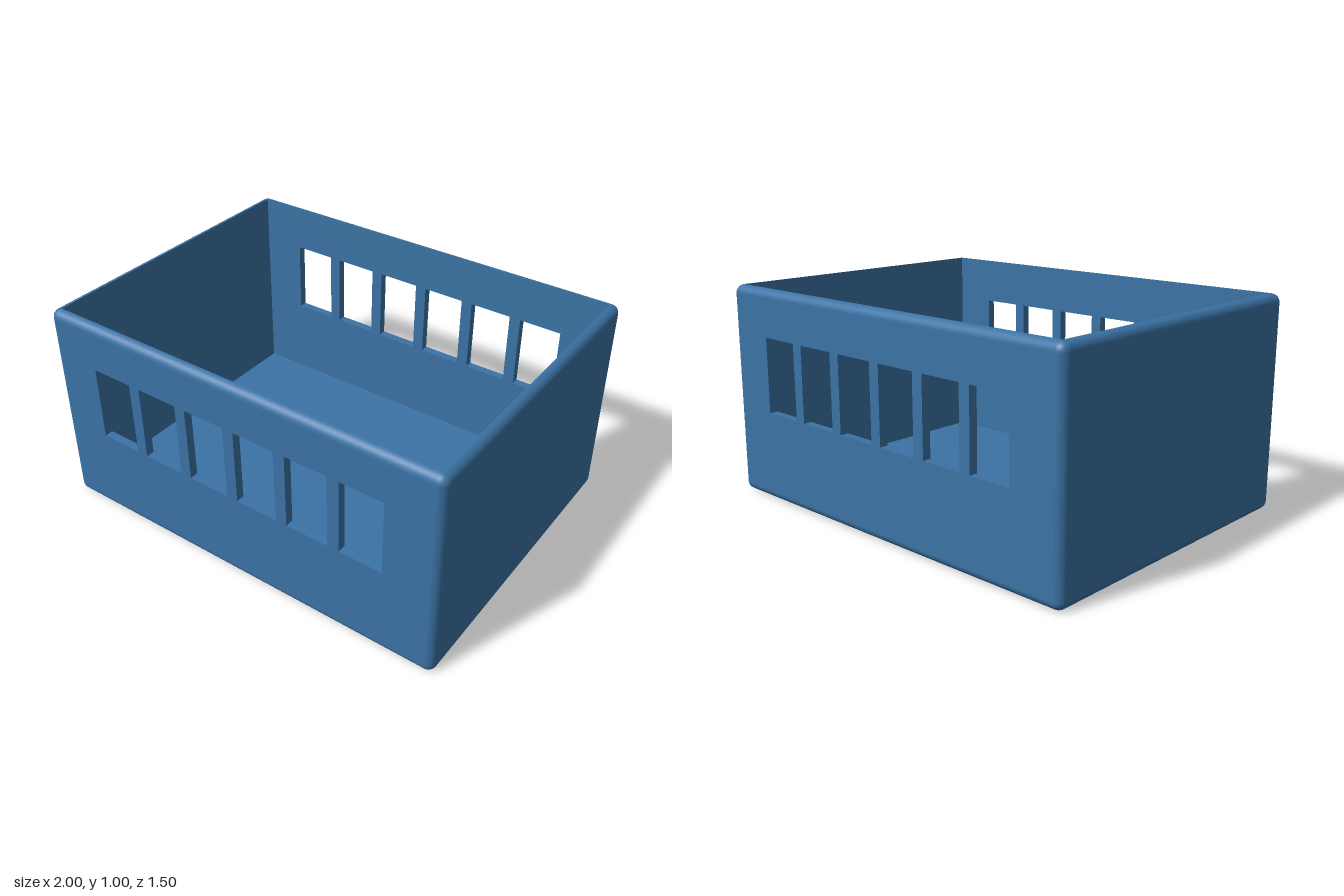
import * as THREE from 'three';
import { RoundedBoxGeometry } from 'three/addons/geometries/RoundedBoxGeometry.js';

const W = 2, H = 1, D = 1.5, T = 0.04; // outer size; wall thickness = edge radius

// Rounded outer skin without its flat front, back and top faces
function skinGeometry() {
  const src = new RoundedBoxGeometry(W, H, D, 5, T);
  const p = src.attributes.position, n = src.attributes.normal;
  const pos = [], nor = [];
  for (let i = 0; i < p.count; i += 3) {
    const ids = [i, i + 1, i + 2];
    const isFlat = ids.every((k) => n.getY(k) > 0.999) || ids.every((k) => Math.abs(n.getZ(k)) > 0.999);
    if (isFlat) continue;
    for (const k of ids) {
      pos.push(p.getX(k), p.getY(k), p.getZ(k));
      nor.push(n.getX(k), n.getY(k), n.getZ(k));
    }
  }
  const g = new THREE.BufferGeometry();
  g.setAttribute('position', new THREE.Float32BufferAttribute(pos, 3));
  g.setAttribute('normal', new THREE.Float32BufferAttribute(nor, 3));
  return g.translate(0, H / 2, 0);
}

function rectangle(path, x0, y0, x1, y1) {
  path.moveTo(x0, y0);
  path.lineTo(x1, y0);
  path.lineTo(x1, y1);
  path.lineTo(x0, y1);
  path.closePath();
  return path;
}

// Long wall with a row of six window openings
function windowWallGeometry() {
  const shape = rectangle(new THREE.Shape(), -W / 2 + T, T, W / 2 - T, H - T);
  for (let i = 0; i < 6; i++) {
    const x = (i - 2.5) * 0.26;
    shape.holes.push(rectangle(new THREE.Path(), x - 0.1025, 0.425, x + 0.1025, 0.78));
  }
  return new THREE.ExtrudeGeometry(shape, { depth: T, bevelEnabled: false });
}

export function createModel() {
  const model = new THREE.Group();
  model.name = 'openBox';
  const blue = new THREE.MeshStandardMaterial({ color: 0x3b73a5 });
  blue.name = 'blue';

  const add = (name, geometry, x = 0, y = 0, z = 0, rx = 0, ry = 0) => {
    const mesh = new THREE.Mesh(geometry, blue);
    mesh.name = name;
    mesh.position.set(x, y, z);
    mesh.rotation.set(rx, ry, 0);
    model.add(mesh);
  };

  add('outerSkin', skinGeometry());

  // Windowed walls
  const wall = windowWallGeometry();
  add('frontWall', wall, 0, 0, D / 2 - T);
  add('backWall', wall, 0, 0, -D / 2 + T, 0, Math.PI);

  // Inside faces: floor, two side walls and the strips under the front and back rims
  const inW = W - 2 * T, inD = D - 2 * T;
  add('innerFloor', new THREE.PlaneGeometry(inW, inD), 0, T, 0, -Math.PI / 2);
  const side = new THREE.PlaneGeometry(inD, H - T);
  const lip = new THREE.PlaneGeometry(inW, T);
  for (const s of [1, -1]) {
    add(s > 0 ? 'innerLeftWall' : 'innerRightWall', side, s * inW / 2, (H + T) / 2, 0, 0, -s * Math.PI / 2);
    add(s > 0 ? 'frontInnerRim' : 'backInnerRim', lip, 0, H - T / 2, s * inD / 2, 0, s > 0 ? Math.PI : 0);
  }
  return model;
}
